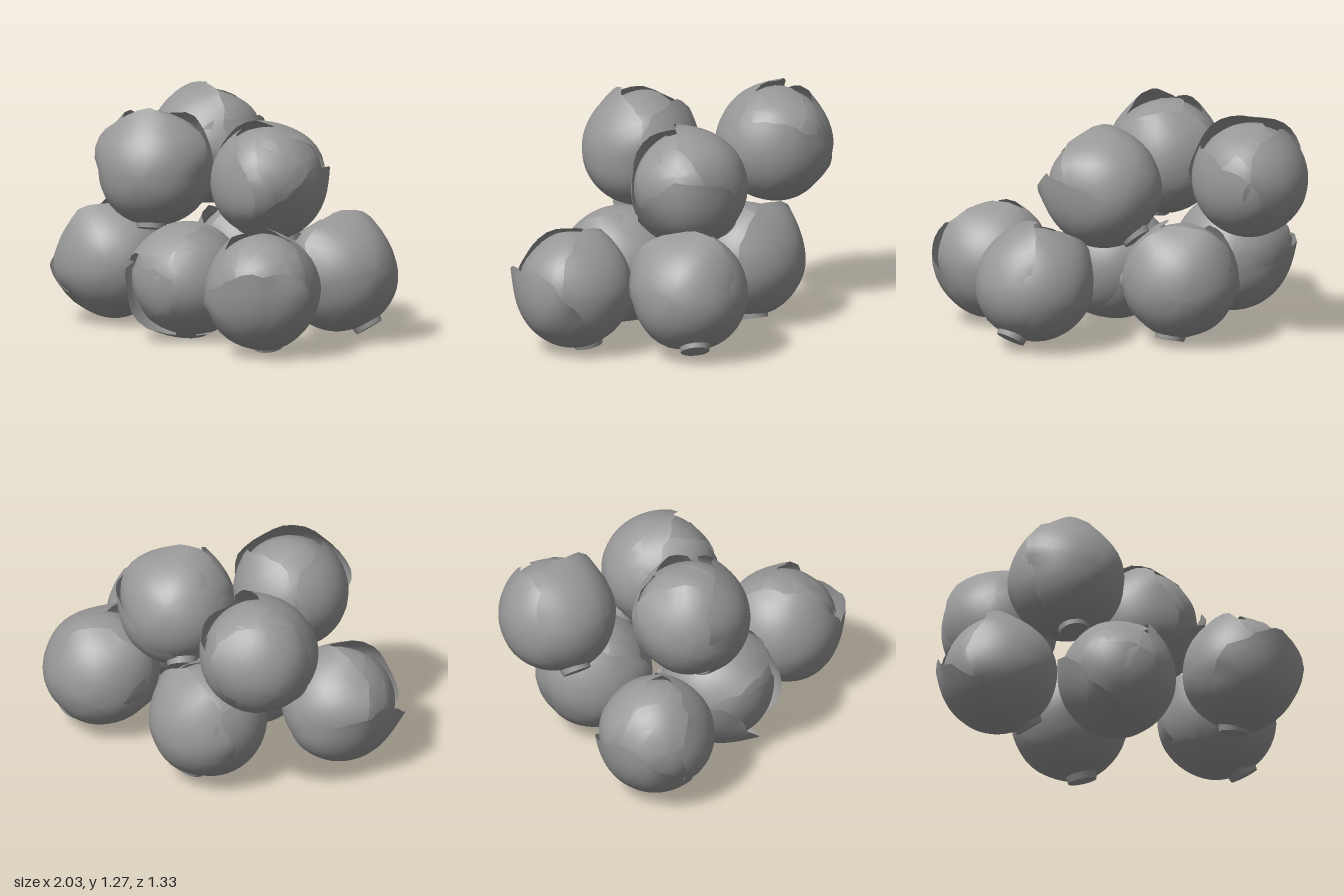
import * as THREE from 'three';
import { mergeVertices } from 'three/addons/utils/BufferGeometryUtils.js';

const material = new THREE.MeshStandardMaterial({ color: 0x999999, side: THREE.DoubleSide });

// A cupped leaf: a spherical cap with a ragged rim whose upper edge lifts off the head.
// cap = angular radius, tilt = angle from the head's top, turn = angle round the head.
function leafGeometry({ radius, cap, tilt, turn, flare, seed }) {
  const geo = new THREE.SphereGeometry(1, 36, 12, 0, Math.PI * 2, 0, cap);
  const pos = geo.attributes.position;
  for (let i = 0; i < pos.count; i++) {
    const x = pos.getX(i), z = pos.getZ(i);
    const theta = Math.atan2(Math.hypot(x, z), pos.getY(i));
    const phi = Math.atan2(z, x);
    const t = theta / cap;
    const top = Math.sqrt(Math.max(0, -Math.sin(phi)));
    // wavy outline, strongest at the rim
    const wave = 0.045 * Math.sin(3 * phi + seed) + 0.025 * Math.sin(7 * phi + 2 * seed)
      + 0.02 * top * Math.sin(13 * phi + seed);
    const a = theta * (1 + wave * t * t);
    // lifted upper rim, tucked lower rim, soft folds running out from the middle
    const lift = flare * top * t ** 4 * (1 + 0.4 * Math.sin(5 * phi + seed));
    const fold = 0.004 * t * Math.sin(4 * phi + 1.5 * seed);
    const r = radius + lift + fold - 0.012 * (1 - top) * t ** 3;
    pos.setXYZ(i, r * Math.sin(a) * Math.cos(phi), r * Math.cos(a), r * Math.sin(a) * Math.sin(phi));
  }
  geo.deleteAttribute('uv');
  geo.deleteAttribute('normal');
  const leaf = mergeVertices(geo, 1e-5);
  leaf.rotateX(tilt);
  leaf.rotateY(turn);
  leaf.computeVertexNormals();
  return leaf;
}

// Leaves from the outermost in; the first is the large one facing the head's +z.
const LEAVES = [
  { name: 'outerLeaf', radius: 0.330, cap: 1.34, tilt: 1.9, turn: 0, flare: 0.034 },
  { name: 'outerLeaf', radius: 0.323, cap: 1.36, tilt: 1.78, turn: 2.2, flare: 0.026 },
  { name: 'outerLeaf', radius: 0.318, cap: 1.36, tilt: 1.78, turn: -2.0, flare: 0.024 },
  { name: 'innerLeaf', radius: 0.311, cap: 0.95, tilt: 0.8, turn: 0.7, flare: 0.008 },
  { name: 'innerLeaf', radius: 0.306, cap: 0.95, tilt: 0.8, turn: -1.5, flare: 0.008 },
  { name: 'innerLeaf', radius: 0.301, cap: 0.95, tilt: 0.75, turn: 2.8, flare: 0.005 },
];

// open = how far the large leaf has dropped away from the top
function cabbage(seed, open) {
  const group = new THREE.Group();
  const add = (name, geo) => {
    const mesh = new THREE.Mesh(geo, material);
    mesh.name = name;
    group.add(mesh);
    return mesh;
  };
  add('heart', new THREE.SphereGeometry(0.295, 28, 18));
  LEAVES.forEach((leaf, i) => add(leaf.name, leafGeometry({
    ...leaf,
    cap: leaf.cap - (i ? 0 : open / 2),
    tilt: leaf.tilt + (i ? 0 : open / 2),
    turn: leaf.turn + (i ? 0.25 * Math.sin(seed * 3 + i) : 0),
    seed: seed * 1.7 + i * 2.3,
  })));
  // broad cut stem at the base
  add('stem', new THREE.CylinderGeometry(0.09, 0.08, 0.05, 18)).position.y = -0.312;
  return group;
}

// Centre, direction of the head's top, direction the large leaf faces, how far it has opened
const PILE = [
  // upper layer
  { at: [-0.675, 0.92, -0.325], up: [0.3, 0.75, -0.58], face: [-0.1, 0.1, 1], open: 0.15 },
  { at: [-0.305, 0.915, 0.32], up: [-0.15, 0.96, -0.2], face: [0.6, 0, 0.8], open: 0 },
  { at: [0.115, 0.85, -0.14], up: [0.48, 0.76, 0.42], face: [0.7, -0.6, -0.25], open: 0.35 },
  // lower front row
  { at: [-0.67, 0.355, 0.32], up: [-0.5, 0.8, 0.31], face: [-0.85, -0.45, 0], open: 0.3 },
  { at: [-0.015, 0.335, 0.315], up: [0.2, 0.15, 0.95], face: [-0.6, -0.8, 0.2], open: 0.25 },
  { at: [0.66, 0.36, 0.32], up: [0.1, 0.95, 0.2], face: [0.7, 0, 0.7], open: 0.35 },
  // lower back row
  { at: [0.53, 0.365, -0.315], up: [-0.45, 0.84, 0.28], face: [0.95, 0, -0.1], open: 0 },
  { at: [-0.28, 0.36, -0.315], up: [-0.2, 0.95, 0.22], face: [0.1, 0, -1], open: 0.1 },
];

export function createModel() {
  const model = new THREE.Group();
  model.name = 'cabbagePile';
  PILE.forEach(({ at, up, face, open }, i) => {
    const head = cabbage(i + 1, open);
    head.name = 'cabbage' + (i + 1);
    const y = new THREE.Vector3(...up).normalize();
    const x = new THREE.Vector3().crossVectors(y, new THREE.Vector3(...face)).normalize();
    const z = new THREE.Vector3().crossVectors(x, y);
    head.quaternion.setFromRotationMatrix(new THREE.Matrix4().makeBasis(x, y, z));
    head.position.set(...at);
    model.add(head);
  });
  return model;
}
